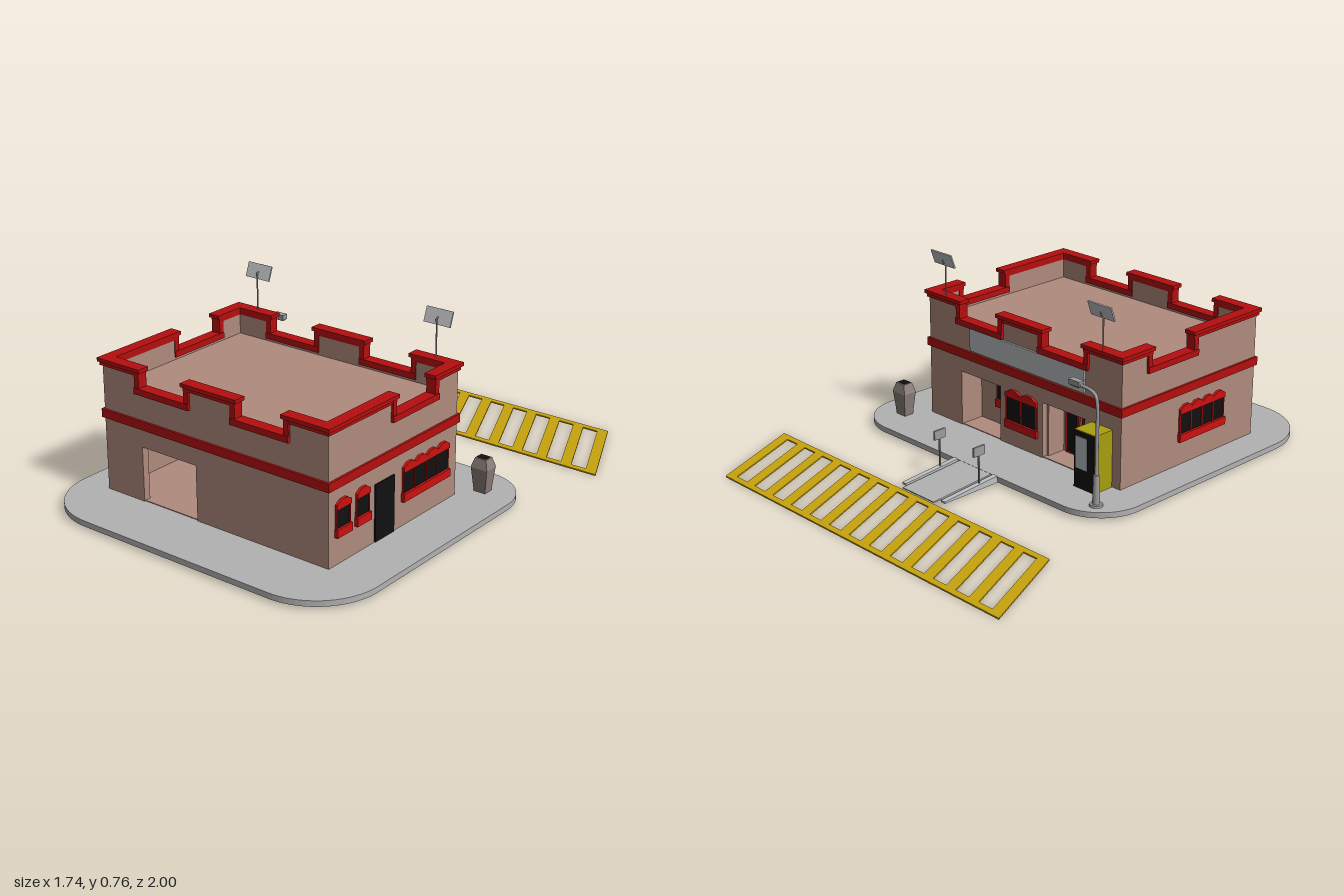
import * as THREE from 'three';

const mat = (name, color, side = THREE.FrontSide) => {
  const m = new THREE.MeshStandardMaterial({ color, side });
  m.name = name;
  return m;
};

export function createModel() {
  const brick = mat('brick', 0xb08b7e), red = mat('trim red', 0xb50e0e), bright = mat('window red', 0xcc1010);
  const black = mat('dark glass', 0x111111), concrete = mat('concrete', 0xb2b2b2), paint = mat('road yellow', 0xc9a40e);
  const olive = mat('machine yellow', 0xa99f0e), taupe = mat('bin taupe', 0x8b7f79);
  const metal = mat('metal grey', 0x9c9c9c), pale = mat('pale panel', 0xbfc1c3);
  const root = new THREE.Group();
  root.name = 'shopBuilding';

  const add = (parent, name, geo, m, x = 0, y = 0, z = 0) => {
    const mesh = new THREE.Mesh(geo, m);
    mesh.name = name;
    mesh.position.set(x, y, z);
    parent.add(mesh);
    return mesh;
  };
  // Box given by its limits on each axis
  const box = (parent, name, m, x0, x1, y0, y1, z0, z1) =>
    add(parent, name, new THREE.BoxGeometry(x1 - x0, y1 - y0, z1 - z0), m, (x0 + x1) / 2, (y0 + y1) / 2, (z0 + z1) / 2);
  const poly = (pts) => new THREE.Shape(pts.map((p) => new THREE.Vector2(...p)));
  const extrude = (shape, depth) => new THREE.ExtrudeGeometry(shape, { depth, bevelEnabled: false, curveSegments: 10 });

  // Pavement with rounded corners (shape y is -z)
  const s = new THREE.Shape(), rf = 0.27, rb = 0.2;
  s.moveTo(-0.66 + rf, -1);
  s.lineTo(0.77 - rf, -1);
  s.absarc(0.77 - rf, -1 + rf, rf, -Math.PI / 2, 0);
  s.absarc(0.77 - rb, 0.29 - rb, rb, 0, Math.PI / 2);
  s.absarc(-0.66 + rb, 0.29 - rb, rb, Math.PI / 2, Math.PI);
  s.absarc(-0.66 + rf, -1 + rf, rf, Math.PI, Math.PI * 1.5);
  add(root, 'pavement', extrude(s, 0.023).rotateX(-Math.PI / 2), concrete, 0, 0.012, 0);

  // Ramp and its low side rails, extruded across x from a side profile
  const slope = (name, m, x0, x1, z0, z1, lift) => {
    const g = extrude(poly([[-z0, 0.01], [-z1, 0.01], [-z1, 0.014 + lift], [-z0, 0.035 + lift]]), x1 - x0);
    add(root, name, g.rotateY(Math.PI / 2), m, x0, 0, 0);
  };
  slope('ramp', concrete, -0.07, 0.11, -0.28, -0.585, 0);
  for (const x of [-0.095, 0.13]) {
    slope('rampRail', pale, x - 0.011, x + 0.011, -0.29, -0.56, 0.004);
    box(root, 'rampSignPost', metal, x - 0.003, x + 0.003, 0.015, 0.16, -0.378, -0.372);
    box(root, 'rampSign', metal, x - 0.004, x + 0.004, 0.148, 0.186, -0.403, -0.347);
  }

  // Painted crossing: two rails and slanted bars
  const flat = (name, pts) => add(root, name, extrude(poly(pts), 0.006).rotateX(-Math.PI / 2), paint);
  const lean = 0.18 / 0.415;
  const stripe = (a, b, z0, z1) => {
    const sh = (z) => (z + 1) * lean;
    return [[a + sh(z1), -z1], [b + sh(z1), -z1], [b + sh(z0), -z0], [a + sh(z0), -z0]];
  };
  flat('crossingRail', stripe(-0.87, 0.685, -1, -0.972));
  flat('crossingRail', stripe(-0.87, 0.685, -0.613, -0.585));
  for (let i = 0; i < 14; i++) {
    const x = -0.87 + (i * 1.507) / 13;
    flat('crossingBar', stripe(x, x + 0.048, -0.972, -0.613));
  }

  // Window row: panes, posts, arched heads and a sill, in wall coordinates
  const windowRow = (parent, u0, u1, n, y0 = 0.15, y1 = 0.26) => {
    const g = new THREE.Group(), w = (u1 - u0) / n;
    g.name = 'windowRow';
    parent.add(g);
    box(g, 'pane', black, u0, u1, y0, y1, 0, 0.004);
    box(g, 'sill', bright, u0 - 0.006, u1 + 0.006, y0 - 0.015, y0 + 0.017, 0, 0.014);
    for (let i = 0; i <= n; i++) box(g, 'post', red, u0 + i * w - 0.003, u0 + i * w + 0.003, y0, y1, 0, 0.007);
    for (let i = 0; i < n; i++) {
      const a = u0 + i * w - 0.003, b = a + w + 0.006, c = (a + b) / 2;
      const head = poly([[a, y1 - 0.008], [b, y1 - 0.008], [b, y1 + 0.012], [c + w * 0.2, y1 + 0.027],
        [c - w * 0.2, y1 + 0.027], [a, y1 + 0.012]]);
      add(g, 'archedHead', extrude(head, 0.011), bright);
    }
  };

  // Wall with stepped parapet; local x runs along it and local z points outwards
  const T = 0.03;
  const wall = (name, x, z, turn, u0, u1, lows, holes) => {
    const g = new THREE.Group();
    g.name = name;
    g.position.set(x, 0, z);
    g.rotation.y = turn;
    root.add(g);
    const top = [[u0, 0.56]];
    for (const [a, b] of lows) top.push([a, 0.56], [a, 0.48], [b, 0.48], [b, 0.56]);
    top.push([u1, 0.56]);
    // openings reach the ground, so they are notches in the lower edge
    const base = [[u1, 0.035]];
    for (const [a, b, h] of [...holes].reverse()) base.push([b, 0.035], [b, h], [a, h], [a, 0.035]);
    base.push([u0, 0.035]);
    add(g, 'brickWall', extrude(poly([...top, ...base].reverse()), T), brick, 0, 0, -T);
    box(g, 'band', red, u0 - 0.009, u1 + 0.009, 0.335, 0.37, 0, 0.009);
    // coping along high and low parts and down the steps
    let start = u0 - 0.015;
    for (const [a, b] of [...lows, [u1 + 0.015, 0]]) {
      const last = a > u1;
      box(g, 'copingUpper', red, start, a + (last ? 0 : 0.012), 0.562, 0.577, -0.036, 0.015);
      box(g, 'copingLower', red, start + 0.007, a - (last ? 0.007 : 0), 0.547, 0.562, -0.033, 0.008);
      if (last) break;
      box(g, 'lowCoping', red, a - 0.02, b + 0.02, 0.475, 0.5, -0.036, 0.013);
      box(g, 'stepTrim', red, a - 0.02, a + 0.003, 0.5, 0.562, -0.033, 0.009);
      box(g, 'stepTrim', red, b - 0.003, b + 0.02, 0.5, 0.562, -0.033, 0.009);
      start = b - 0.012;
    }
    return g;
  };
  wall('frontWall', 0, 0.74, 0, -0.52, 0.56, [[-0.33, -0.1], [0.14, 0.37]], [[-0.33, -0.06, 0.26]]);
  const back = wall('backWall', 0, -0.04, Math.PI, -0.56, 0.52, [[-0.37, -0.14], [0.1, 0.33]],
    [[-0.37, -0.14, 0.27], [0.1, 0.33, 0.27]]);
  const right = wall('rightWall', 0.56, 0, Math.PI / 2, -0.74, 0.04, [[-0.36, -0.115]], []);
  const left = wall('leftWall', -0.52, 0, -Math.PI / 2, -0.04, 0.74, [[0.115, 0.36]], []);

  windowRow(right, -0.7, -0.625, 1, 0.16);
  windowRow(right, -0.585, -0.513, 1, 0.16);
  windowRow(right, -0.305, -0.02, 4);
  box(right, 'sideDoor', black, -0.475, -0.36, 0.037, 0.265, 0, 0.006);
  windowRow(left, 0.29, 0.55, 4);
  windowRow(back, -0.1, 0.07, 2, 0.125, 0.25);
  box(back, 'signBoard', pale, -0.31, 0.33, 0.378, 0.472, 0, 0.008);

  // Roof, floor and the set-back entrance wall with its porch sides
  box(root, 'roof', brick, -0.5, 0.54, 0.45, 0.465, -0.02, 0.72);
  box(root, 'floor', brick, -0.5, 0.54, 0.033, 0.038, -0.035, 0.735);
  box(root, 'porchCeiling', brick, -0.49, 0.53, 0.27, 0.28, -0.02, 0.08);
  box(root, 'entranceWall', brick, -0.49, 0.53, 0.037, 0.27, 0.07, 0.09);
  for (const x of [-0.345, -0.11, 0.125, 0.37]) box(root, 'porchSide', brick, x, x + 0.015, 0.037, 0.27, -0.015, 0.07);
  const porch = new THREE.Group();
  porch.name = 'porchFittings';
  porch.position.z = 0.07;
  porch.rotation.y = Math.PI;
  root.add(porch);
  windowRow(porch, -0.27, -0.16, 2, 0.13, 0.24);
  windowRow(porch, 0.22, 0.32, 2, 0.13, 0.24);
  box(porch, 'doorFrame', bright, 0.125, 0.2, 0.038, 0.25, 0, 0.006);
  box(porch, 'doorGlass', black, 0.137, 0.188, 0.045, 0.238, 0.004, 0.009);

  // Vending machine
  box(root, 'vendingMachine', olive, -0.478, -0.368, 0.035, 0.272, -0.134, -0.042);
  box(root, 'vendingFront', black, -0.474, -0.372, 0.037, 0.268, -0.14, -0.134);
  box(root, 'vendingPanel', pale, -0.44, -0.382, 0.12, 0.25, -0.143, -0.14);

  // Litter bin: tapered square body and lid
  const tub = (name, m, top, bottom, h, y) => {
    const g = new THREE.CylinderGeometry(top * Math.SQRT1_2, bottom * Math.SQRT1_2, h, 4).rotateY(Math.PI / 4);
    const bin = add(root, name, g.toNonIndexed(), m, 0.625, y + h / 2, -0.135);
    bin.geometry.computeVertexNormals();
    bin.scale.z = 0.85;
  };
  tub('binBody', taupe, 0.073, 0.052, 0.1, 0.035);
  tub('binLid', taupe, 0.05, 0.075, 0.04, 0.135);
  box(root, 'binOpening', black, 0.605, 0.645, 0.174, 0.177, -0.15, -0.12);

  // Street lamp with curved arm
  const V = (x, y) => new THREE.Vector3(x, y, -0.2);
  const cyl = (name, m, rt, rb2, h, x, y, z) => add(root, name, new THREE.CylinderGeometry(rt, rb2, h, 16), m, x, y + h / 2, z);
  cyl('lampFoot', metal, 0.025, 0.027, 0.008, -0.547, 0.035, -0.2);
  cyl('lampBase', metal, 0.012, 0.015, 0.12, -0.547, 0.04, -0.2);
  const arm = new THREE.CatmullRomCurve3([V(-0.547, 0.15), V(-0.547, 0.3), V(-0.547, 0.44), V(-0.537, 0.475),
    V(-0.51, 0.488), V(-0.45, 0.493)]);
  add(root, 'lampPole', new THREE.TubeGeometry(arm, 32, 0.007, 10), metal);
  box(root, 'lampHead', metal, -0.465, -0.41, 0.487, 0.508, -0.213, -0.187);
  box(root, 'lampGlass', olive, -0.458, -0.415, 0.482, 0.487, -0.209, -0.191);

  // Tilted roof panels on thin masts
  for (const x of [-0.418, 0.46]) {
    cyl('panelMast', metal, 0.003, 0.003, 0.18, x, 0.55, -0.038);
    const ring = add(root, 'mastRing', new THREE.TorusGeometry(0.009, 0.003, 6, 16), metal, x, 0.722, -0.044);
    ring.rotation.y = Math.PI / 2;
    const panel = box(root, 'tiltedPanel', pale, x - 0.06, x + 0.06, 0.702, 0.763, -0.053, -0.047);
    panel.rotation.x = -0.35;
  }
  return root;
}
